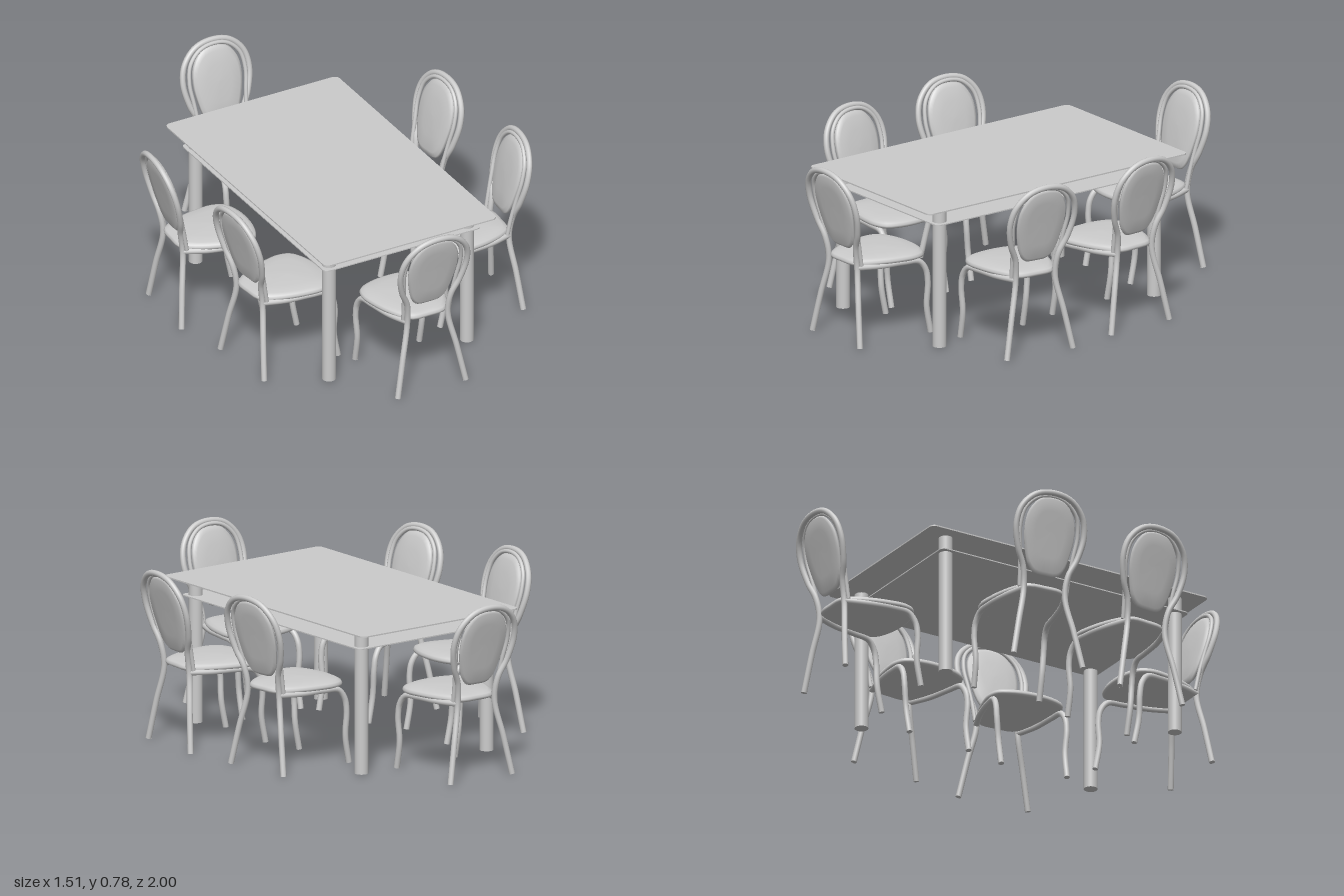
import * as THREE from 'three';

const material = new THREE.MeshStandardMaterial({ color: 0xcccccc, side: THREE.DoubleSide });

function mesh(name, geometry) {
  const m = new THREE.Mesh(geometry, material);
  m.name = name;
  return m;
}

const vec = (p) => new THREE.Vector3(...p);

// Round tube through points, closed at both ends
function tube(name, points, radius, segments) {
  const curve = new THREE.CatmullRomCurve3(points.map(vec));
  const g = new THREE.Group();
  g.name = name;
  g.add(mesh(name + 'Tube', new THREE.TubeGeometry(curve, segments, radius, 10)));
  for (const t of [0, 1]) {
    const cap = mesh(name + 'End', new THREE.CircleGeometry(radius, 10));
    const p = curve.getPoint(t);
    const dir = curve.getTangent(t).multiplyScalar(t ? 1 : -1);
    cap.position.copy(p);
    cap.lookAt(p.clone().add(dir));
    g.add(cap);
  }
  return g;
}

// Half outline (x >= 0, from one end of the axis to the other) mirrored to a smooth loop
function outline(half, count) {
  const other = half.slice(1, -1).reverse().map(([x, y]) => [-x, y]);
  const pts = [...half, ...other].map(([x, y]) => new THREE.Vector3(x, y, 0));
  return new THREE.CatmullRomCurve3(pts, true).getPoints(count).slice(0, count);
}

// Upholstered pad: outline rings scaled about a centre, stacked by [scale, height]
function pad(name, loop, centre, layers, place) {
  const n = loop.length, pos = [], index = [];
  for (const [s, h] of layers)
    for (const p of loop) pos.push(...place(p.x * s, centre + (p.y - centre) * s, h));
  for (let i = 0; i < layers.length - 1; i++)
    for (let j = 0; j < n; j++) {
      const a = i * n + j, b = i * n + (j + 1) % n;
      index.push(a, b, b + n, a, b + n, a + n);
    }
  const g = new THREE.BufferGeometry();
  g.setAttribute('position', new THREE.Float32BufferAttribute(pos, 3));
  g.setIndex(index);
  g.computeVertexNormals();
  return mesh(name, g);
}

// Depth of the reclining back at height y
const backZ = (y) => 0.11 - 0.098 * Math.pow(Math.max(0, (y - 0.35) / 0.42), 1.15);

// Mirror a right-hand path across x = 0; the last point lies on the axis
const mirrored = (pts) => [...pts, ...pts.slice(0, -1).reverse().map(([x, y, z]) => [-x, y, z])];

// Chair facing +z, with the top of its back near z = 0
function createChair() {
  const chair = new THREE.Group();
  chair.name = 'chair';

  // Rear legs and outer hoop are one bent tube
  const outer = [[0.165, 0.45], [0.135, 0.53], [0.163, 0.61], [0.145, 0.69], [0.085, 0.75], [0, 0.768]];
  outer[0] = [0.108, 0.43];
  outer[1] = [0.143, 0.51];
  chair.add(tube('rearLegsAndHoop', mirrored([
    [0.167, 0.0, 0.072], [0.133, 0.17, 0.09], [0.1, 0.33, 0.109],
    ...outer.map(([x, y]) => [x, y, backZ(y)]),
  ]), 0.013, 110));

  // Inner hoop
  const inner = [[0.113, 0.35], [0.118, 0.43], [0.128, 0.52], [0.138, 0.61], [0.122, 0.69], [0.07, 0.742], [0, 0.757]];
  chair.add(tube('innerHoop', mirrored(inner.map(([x, y]) => [x, y, backZ(y) + 0.012])), 0.009, 70));

  // Seat rails that bend down into the front legs
  for (const s of [-1, 1])
    chair.add(tube('railAndFrontLeg', [
      [0.1, 0.34, 0.11], [0.135, 0.338, 0.21], [0.155, 0.338, 0.32], [0.162, 0.33, 0.395],
      [0.167, 0.29, 0.427], [0.168, 0.23, 0.438], [0.16, 0.12, 0.438], [0.158, 0, 0.46],
    ].map(([x, y, z]) => [s * x, y, z]), 0.013, 50));

  // Seat cushion
  const seat = outline([[0, 0.095], [0.075, 0.1], [0.11, 0.135], [0.145, 0.21], [0.168, 0.3],
    [0.175, 0.37], [0.155, 0.425], [0.09, 0.457], [0, 0.468]], 48);
  chair.add(pad('seat', seat, 0.3, [[0, 0.342], [0.94, 0.342], [0.99, 0.347], [1, 0.356],
    [0.97, 0.366], [0.88, 0.373], [0.6, 0.379], [0, 0.381]], (x, z, h) => [x, h, z]).rotateX(0));

  // Back cushion, following the curve of the back
  const back = outline([[0, 0.415], [0.055, 0.42], [0.085, 0.45], [0.108, 0.52], [0.12, 0.6],
    [0.11, 0.675], [0.065, 0.735], [0, 0.75]], 44);
  chair.add(pad('backrest', back, 0.6, [[0, -0.012], [0.6, -0.012], [0.93, -0.01], [1, 0],
    [0.97, 0.01], [0.85, 0.018], [0.5, 0.023], [0, 0.024]], (x, y, h) => [x, y, backZ(y) + 0.006 + h]));
  return chair;
}

// Thin horizontal sheet with rounded corners
function sheet(name, w, d, r, y, thickness) {
  const s = new THREE.Shape();
  const x = w / 2, z = d / 2;
  s.absarc(x - r, z - r, r, 0, Math.PI / 2);
  s.absarc(-x + r, z - r, r, Math.PI / 2, Math.PI);
  s.absarc(-x + r, -z + r, r, Math.PI, Math.PI * 1.5);
  s.absarc(x - r, -z + r, r, Math.PI * 1.5, Math.PI * 2);
  const g = new THREE.ExtrudeGeometry(s, { depth: thickness, bevelEnabled: false, curveSegments: 6 });
  g.rotateX(-Math.PI / 2);
  const m = mesh(name, g);
  m.position.y = y;
  return m;
}

function createTable() {
  const table = new THREE.Group();
  table.name = 'table';
  table.add(sheet('tableTop', 0.85, 1.4, 0.025, 0.631, 0.006));
  table.add(sheet('lowerShelf', 0.77, 1.25, 0.02, 0.557, 0.005));
  for (const sx of [-1, 1])
    for (const sz of [-1, 1]) {
      const leg = mesh('tableLeg', new THREE.CylinderGeometry(0.03, 0.03, 0.632, 24));
      leg.position.set(sx * 0.34, 0.316, sz * 0.58);
      table.add(leg);
    }
  table.position.set(-0.015, 0, 0.052);
  return table;
}

export function createModel() {
  const model = new THREE.Group();
  model.name = 'diningSet';
  model.add(createTable());

  // Chair places: x, z, turn
  const q = Math.PI / 2;
  const places = [
    [-0.016, -1, 0], [-0.016, 1, Math.PI],
    [-0.755, -0.22, q - 0.08], [-0.692, 0.352, q + 0.08],
    [0.715, -0.215, -q + 0.08], [0.75, 0.366, -q - 0.09],
  ];
  for (const [x, z, turn] of places) {
    const chair = createChair();
    chair.position.set(x, 0, z);
    chair.rotation.y = turn;
    model.add(chair);
  }
  return model;
}
